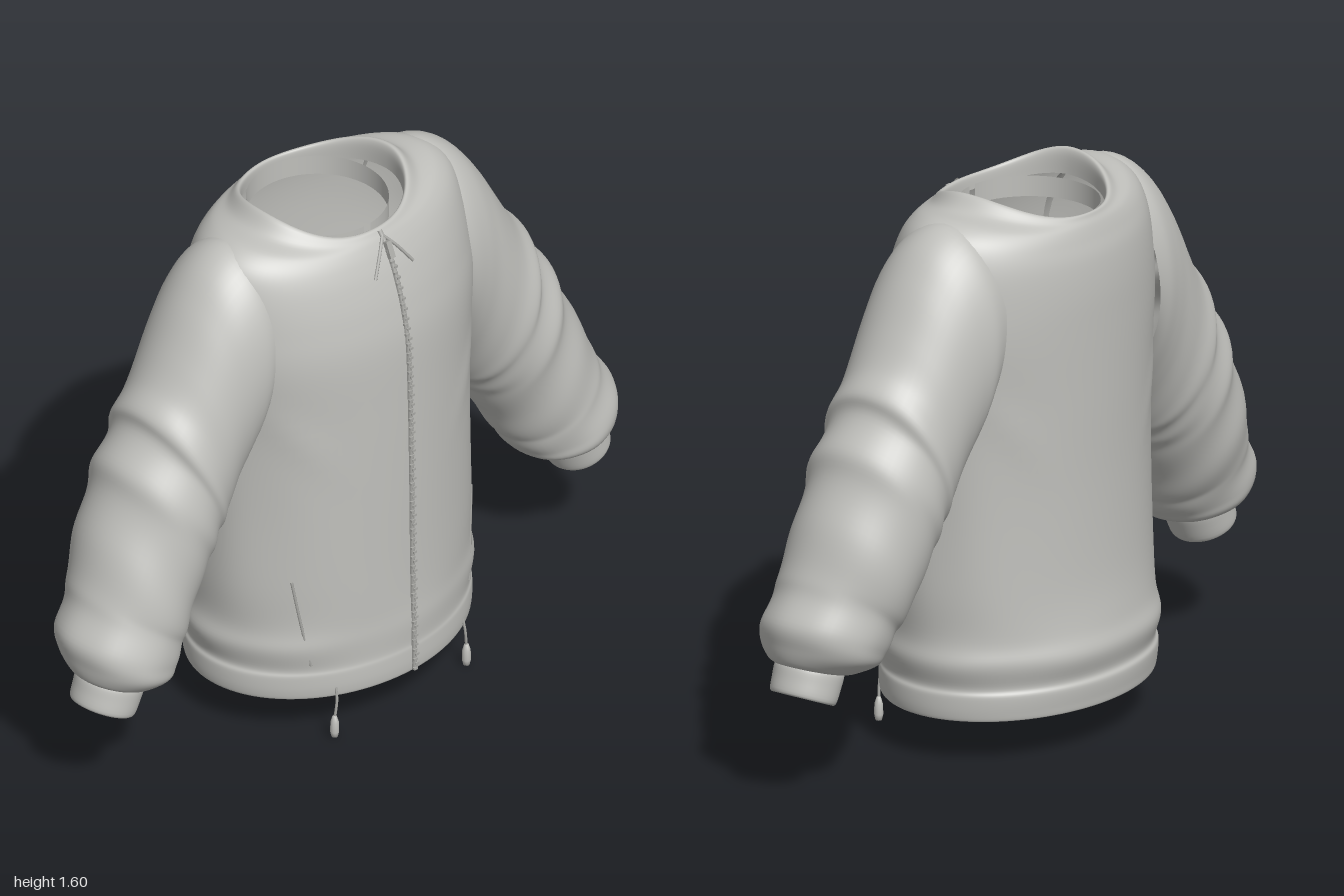
import * as THREE from 'three';
import { mergeGeometries } from 'three/addons/utils/BufferGeometryUtils.js';

const fabric = new THREE.MeshStandardMaterial({ color: 0xbfbfbb, side: THREE.DoubleSide });
fabric.name = 'fabric';
const trim = new THREE.MeshStandardMaterial({ color: 0xa9a9a5, side: THREE.DoubleSide });
trim.name = 'trim';

// Torso rings: y, half width, front z, back z, lift of y at the sides
const TORSO = [
  [0.17, 0.425, 0.325, -0.315, 0], [0.13, 0.44, 0.342, -0.332, 0],
  [0.155, 0.447, 0.347, -0.338, 0], [0.2, 0.447, 0.346, -0.343, 0],
  [0.225, 0.44, 0.343, -0.335, 0], [0.29, 0.455, 0.344, -0.35, 0],
  [0.36, 0.444, 0.341, -0.333, 0], [0.5, 0.45, 0.338, -0.315, 0],
  [0.75, 0.447, 0.335, -0.306, 0], [1.0, 0.45, 0.33, -0.306, 0],
  [1.2, 0.47, 0.322, -0.306, 0], [1.32, 0.465, 0.3, -0.304, 0],
  [1.41, 0.45, 0.272, -0.295, 0.02], [1.465, 0.42, 0.248, -0.28, 0.045],
  [1.5, 0.365, 0.228, -0.268, 0.05], [1.518, 0.29, 0.215, -0.258, 0.042],
  [1.53, 0.245, 0.205, -0.252, 0.066], [1.525, 0.23, 0.195, -0.243, 0.055],
  [1.49, 0.23, 0.193, -0.243, 0.03],
];

// Sleeve rings: outer x, outer y, inner x, inner y, centre z, half depth
const SLEEVE = [
  [0.3, 1.535, 0.4, 0.93, -0.02, 0.2], [0.38, 1.548, 0.41, 0.88, -0.018, 0.21],
  [0.46, 1.505, 0.43, 0.83, -0.015, 0.205], [0.53, 1.42, 0.45, 0.79, -0.013, 0.198],
  [0.6, 1.3, 0.47, 0.75, -0.01, 0.195], [0.655, 1.205, 0.485, 0.72, -0.008, 0.195],
  [0.708, 1.145, 0.5, 0.7, -0.006, 0.203], [0.718, 1.085, 0.522, 0.675, -0.005, 0.196],
  [0.785, 1.005, 0.54, 0.645, -0.002, 0.206], [0.815, 0.925, 0.567, 0.605, 0, 0.198],
  [0.878, 0.8, 0.61, 0.525, 0.006, 0.196], [0.928, 0.68, 0.645, 0.46, 0.02, 0.187],
  [0.95, 0.62, 0.662, 0.43, 0.028, 0.178], [1.0, 0.54, 0.685, 0.395, 0.036, 0.18],
  [0.998, 0.47, 0.71, 0.37, 0.043, 0.17], [0.987, 0.425, 0.765, 0.352, 0.052, 0.125],
  [0.972, 0.408, 0.79, 0.352, 0.055, 0.096],
];
const CUFF = [
  [0.968, 0.42, 0.795, 0.36, 0.055, 0.09], [0.977, 0.408, 0.79, 0.348, 0.055, 0.098],
  [0.986, 0.38, 0.805, 0.315, 0.055, 0.098], [0.997, 0.343, 0.828, 0.273, 0.055, 0.095],
  [0.985, 0.34, 0.84, 0.278, 0.055, 0.083], [0.962, 0.4, 0.81, 0.35, 0.055, 0.08],
];

// Smoothly interpolated ring at t in 0..1
function ringAt(rings, t) {
  const n = rings.length - 1, f = t * n, i = Math.min(Math.floor(f), n - 1), u = f - i;
  const p = k => rings[Math.max(0, Math.min(n, k))];
  const [a, b, c, d] = [p(i - 1), p(i), p(i + 1), p(i + 2)];
  return b.map((_, k) => b[k] + 0.5 * u * (c[k] - a[k]
    + u * (2 * a[k] - 5 * b[k] + 4 * c[k] - d[k] + u * (3 * (b[k] - c[k]) + d[k] - a[k]))));
}

// Closed loft: point(t, angle) gives each vertex
function loft(rows, segs, point) {
  const pos = [], index = [];
  for (let i = 0; i <= rows; i++) for (let j = 0; j < segs; j++) {
    pos.push(...point(i / rows, j / segs * Math.PI * 2));
    if (i === rows) continue;
    const a = i * segs + j, b = i * segs + (j + 1) % segs;
    index.push(a, b, b + segs, a, b + segs, a + segs);
  }
  const g = new THREE.BufferGeometry();
  g.setAttribute('position', new THREE.Float32BufferAttribute(pos, 3));
  g.setIndex(index);
  g.computeVertexNormals();
  return g;
}

const bump = (x, c, w) => Math.exp(-(((x - c) / w) ** 2));

function torsoPoint(t, a) {
  const [y, w, zf, zb, lift] = ringAt(TORSO, t);
  const s = Math.sin(a), c = Math.cos(a);
  // vertical drape, pull folds from the armpits and hem puckers
  const side = Math.abs(s);
  const fold = 0.006 * bump(y, 0.7, 0.35) * Math.sin(9 * a + 2 * y) * side
    + 0.012 * bump(y - 0.5 * side, 0.62, 0.06) * bump(side, 0.7, 0.2)
    + 0.006 * bump(y, 0.29, 0.07) * Math.sin(7 * a + 1);
  const k = 1 + fold;
  return [w * s * k, y + lift * side ** 3, (c > 0 ? zf : -zb) * c * k];
}

// Front surface depth at x, y
function frontZ(x, y) {
  let i = 2;
  while (i < 15 && TORSO[i + 1][0] < y) i++;
  const A = TORSO[i], B = TORSO[i + 1];
  const u = Math.max(-0.5, Math.min(1, (y - A[0]) / (B[0] - A[0])));
  const w = A[1] + u * (B[1] - A[1]), z = A[2] + u * (B[2] - A[2]);
  return z * Math.sqrt(Math.max(0, 1 - (x / w) ** 2));
}

function sleevePoint(rings, t, a, side, wrinkle) {
  const [ox, oy, ix, iy, zc, hz] = ringAt(rings, t);
  const k = 1 + wrinkle * (bump(t, 0.6, 0.25) * Math.sin(60 * t + 2 * Math.sin(a + 1))
    + 0.5 * bump(t, 0.82, 0.1) * Math.sin(8 * a));
  const c = Math.cos(a) * k, s = Math.sin(a * side) * k;
  return [side * ((ox + ix) / 2 + (ox - ix) / 2 * c), (oy + iy) / 2 + (oy - iy) / 2 * c, zc + hz * s];
}

// Cord through points lying on the front surface
function surfaceCord(points, radius, lift) {
  const curve = new THREE.CatmullRomCurve3(
    points.map(([x, y]) => new THREE.Vector3(x, y, frontZ(x, y) + lift)));
  return new THREE.TubeGeometry(curve, points.length * 4, radius, 6);
}

export function createModel() {
  const model = new THREE.Group();
  model.name = 'jacket';
  const add = (name, geometry, material, parent = model) => {
    const m = new THREE.Mesh(geometry, material);
    m.name = name;
    parent.add(m);
    return m;
  };

  add('body', loft(108, 96, torsoPoint), fabric);

  // Loose inner neckband, open at the front
  const band = add('innerNeckband',
    new THREE.CylinderGeometry(0.197, 0.197, 0.06, 64, 1, true, 0.06, Math.PI * 2 - 0.12), fabric);
  band.position.set(0, 1.49, -0.035);

  // Zip: tape, teeth and slider
  const zip = new THREE.Group();
  zip.name = 'zip';
  model.add(zip);
  const line = [];
  for (let i = 0; i <= 20; i++) line.push([0, 0.135 + i * 0.0695]);
  add('zipTape', surfaceCord(line, 0.008, 0.001), trim, zip);
  const teeth = [];
  for (let i = 0; i < 90; i++) {
    const y = 0.14 + i * 0.0152;
    teeth.push(new THREE.BoxGeometry(0.013, 0.007, 0.008)
      .translate(i % 2 ? 0.003 : -0.003, y, frontZ(0, y) + 0.007));
  }
  add('zipTeeth', mergeGeometries(teeth), trim, zip);
  const slider = add('zipSlider', new THREE.BoxGeometry(0.018, 0.05, 0.014), trim, zip);
  slider.position.set(0, 1.48, frontZ(0, 1.48) + 0.01);
  slider.rotation.x = -0.4;

  for (const side of [1, -1]) {
    const tag = side > 0 ? 'left' : 'right';
    add(tag + 'Sleeve', loft(96, 56, (t, a) => sleevePoint(SLEEVE, t, a, side, 0.012)), fabric);
    add(tag + 'Cuff', loft(20, 48, (t, a) => sleevePoint(CUFF, t, a, side, 0)), fabric);

    // Slanted pocket welt
    add(tag + 'Pocket', surfaceCord([[side * 0.345, 0.52], [side * 0.325, 0.38], [side * 0.303, 0.24]],
      0.004, 0.001), trim);

    // Neck drawstring ends
    add(tag + 'NeckCord', surfaceCord([[0, 1.515], [side * 0.03, 1.48], [side * 0.072, 1.42]],
      0.005, 0.004), trim);

    // Hem drawstring with toggle
    const hem = new THREE.CatmullRomCurve3([[0.243, 0.16, 0.288], [0.246, 0.12, 0.295], [0.253, 0.06, 0.293]]
      .map(([x, y, z]) => new THREE.Vector3(side * x, y, z)));
    add(tag + 'HemCord', new THREE.TubeGeometry(hem, 10, 0.004, 6), trim);
    const toggle = [[0, 0], [0.009, 0.003], [0.013, 0.02], [0.012, 0.05], [0.006, 0.07], [0, 0.072]];
    const t = add(tag + 'HemToggle',
      new THREE.LatheGeometry(toggle.map(p => new THREE.Vector2(...p)), 12), fabric);
    t.position.set(side * 0.253, 0, 0.293);
  }
  return model;
}
